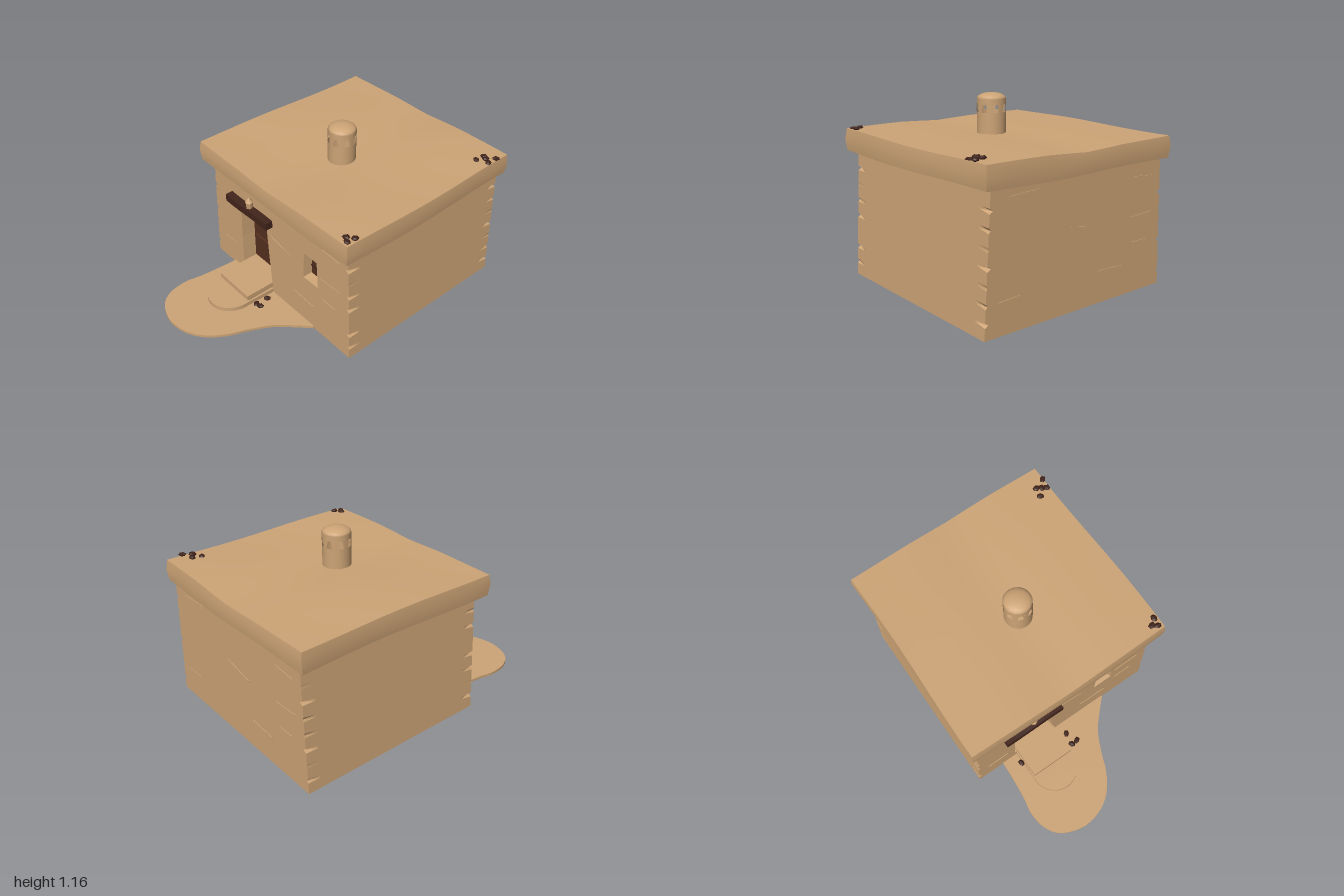
import * as THREE from 'three';
import { toCreasedNormals } from 'three/addons/utils/BufferGeometryUtils.js';

const mat = (name, color, side = THREE.FrontSide) => {
  const m = new THREE.MeshStandardMaterial({ color, side });
  m.name = name;
  return m;
};

// Joins closed cross-sections {z, pts} into a flat-faced skin
function loft(sections) {
  const pos = [];
  for (let s = 0; s < sections.length - 1; s++) {
    const A = sections[s], B = sections[s + 1], n = A.pts.length;
    for (let i = 0; i < n; i++) {
      const j = (i + 1) % n;
      const a = [...A.pts[i], A.z], b = [...A.pts[j], A.z];
      const c = [...B.pts[i], B.z], d = [...B.pts[j], B.z];
      pos.push(...a, ...c, ...b, ...b, ...c, ...d);
    }
  }
  const g = new THREE.BufferGeometry();
  g.setAttribute('position', new THREE.Float32BufferAttribute(pos, 3));
  g.computeVertexNormals();
  return g;
}

const shapeOf = (pts) => new THREE.Shape(pts.map(([x, y]) => new THREE.Vector2(x, y)));

function reshape(g, rule) {
  const p = g.attributes.position, v = new THREE.Vector3();
  for (let i = 0; i < p.count; i++) {
    rule(v.fromBufferAttribute(p, i));
    p.setXYZ(i, v.x, v.y, v.z);
  }
  return g;
}

// Wall outline with chipped corners; amount 0 leaves the sides straight
function wallOutline(amount, seed) {
  const side = (phase) => {
    const out = [];
    for (let k = 0; k < 8; k++) {
      const y = k * 0.1;
      const chip = amount * (0.012 + 0.012 * Math.sin(k * 2.3 + phase));
      const x = (h) => 0.683 - 0.045 * h;
      out.push([x(y), y], [x(y + 0.07), y + 0.07], [x(y + 0.085) - chip, y + 0.085]);
    }
    out.push([0.647, 0.8]);
    return out;
  };
  return [...side(seed), ...side(seed + 2).reverse().map(([x, y]) => [-x, y])];
}

export function createModel() {
  const root = new THREE.Group();
  const clay = mat('clay', 0xcda476, THREE.DoubleSide);
  const doorWood = mat('doorWood', 0x55301f);
  const darkWood = mat('darkWood', 0x42251b);
  const twig = mat('twig', 0x3f231a);

  const add = (name, geo, material, x = 0, y = 0, z = 0, parent = root) => {
    const m = new THREE.Mesh(geo, material);
    m.name = name;
    m.position.set(x, y, z);
    parent.add(m);
    return m;
  };
  const box = (name, w, h, d, material, x, y, z) =>
    add(name, new THREE.BoxGeometry(w, h, d), material, x, y, z);

  // Walls
  const FRONT = 0.333, BACK = -0.95;
  const front = wallOutline(1, 0), plain = wallOutline(0, 0), back = wallOutline(1, 1);
  add('sideWalls', loft([
    { z: FRONT, pts: front }, { z: 0.25, pts: plain },
    { z: -0.87, pts: plain }, { z: BACK, pts: back },
  ]), clay);

  const doorOuter = [[-0.39, 0.07], [-0.07, 0.07], [-0.09, 0.3], [-0.112, 0.6], [-0.372, 0.6], [-0.385, 0.3]];
  const doorInner = [[-0.372, 0.07], [-0.092, 0.07], [-0.096, 0.3], [-0.122, 0.6], [-0.362, 0.6], [-0.372, 0.3]];
  const windowOuter = [[0.252, 0.372], [0.388, 0.376], [0.376, 0.568], [0.26, 0.57]];
  const windowInner = [[0.262, 0.385], [0.372, 0.385], [0.364, 0.545], [0.272, 0.545]];

  const frontShape = shapeOf(front);
  frontShape.holes.push(shapeOf(doorOuter), shapeOf(windowOuter));
  add('frontWall', new THREE.ShapeGeometry(frontShape), clay, 0, 0, FRONT);
  const backShape = shapeOf(back.map(([x, y]) => [-x, y]));
  add('backWall', new THREE.ShapeGeometry(backShape).rotateY(Math.PI), clay, 0, 0, BACK);

  // Openings with their reveals, door and shutters
  add('doorReveal', loft([{ z: 0.235, pts: doorInner }, { z: FRONT, pts: doorOuter }]), clay);
  add('door', new THREE.ShapeGeometry(shapeOf(doorInner)), doorWood, 0, 0, 0.24);
  box('doorBar', 0.2, 0.03, 0.02, doorWood, -0.243, 0.285, 0.247).rotation.z = -0.03;
  add('windowReveal', loft([{ z: 0.27, pts: windowInner }, { z: FRONT, pts: windowOuter }]), clay);
  add('windowBack', new THREE.ShapeGeometry(shapeOf(windowInner)), doorWood, 0, 0, 0.272);
  for (const s of [-1, 1]) box('shutter', 0.04, 0.145, 0.008, doorWood, 0.318 + s * 0.023, 0.465, 0.277);
  box('shutterBar', 0.09, 0.014, 0.008, darkWood, 0.318, 0.46, 0.283);

  // Lintel beam, slightly bowed
  add('lintel', reshape(new THREE.BoxGeometry(0.42, 0.05, 0.07, 6, 1, 1), (v) => {
    v.y += 0.004 * Math.sin(v.x * 14);
  }).toNonIndexed(), darkWood, -0.255, 0.606, 0.35).geometry.computeVertexNormals();

  // Small lantern on the lintel
  const lantern = new THREE.Group();
  lantern.name = 'lantern';
  lantern.position.set(-0.25, 0.63, 0.355);
  root.add(lantern);
  add('lanternBody', new THREE.CylinderGeometry(0.026, 0.022, 0.045, 6), clay, 0, 0.0225, 0, lantern);
  add('lanternCap', new THREE.ConeGeometry(0.028, 0.036, 6), clay, 0, 0.063, 0, lantern);

  // Roof slab: bulging sides, wavy edges and a shallow valley along the middle
  const roof = reshape(new THREE.BoxGeometry(1.39, 0.14, 1.37, 10, 2, 10), (v) => {
    const { x, y, z } = v;
    const edge = 1 - Math.abs(y) / 0.07;
    v.x += Math.sign(x) * (0.008 * edge + 0.007 * Math.sin(z * 4 + x));
    v.z += Math.sign(z) * (0.008 * edge + 0.01 * Math.cos(x * 2.2) - 0.006);
    if (y > 0.06) v.y -= 0.014 * Math.max(0, 1 - Math.abs(x) / 0.3) + 0.005 * (1 + Math.sin(z * 5 + x * 3));
    if (y < -0.06) v.y += 0.005 * Math.sin(x * 6 + z * 4);
  });
  roof.computeVertexNormals();
  add('roofSlab', toCreasedNormals(roof, 0.6), clay, 0, 0.86, -0.29);

  // Chimney: tube, ring of pillars that widen upward, collar and dome
  const chimney = new THREE.Group();
  chimney.name = 'chimney';
  chimney.position.set(0.015, 0, -0.185);
  root.add(chimney);
  const R = 0.089;
  add('chimneyTube', new THREE.CylinderGeometry(R, R, 0.14, 24, 1, true), clay, 0, 0.97, 0, chimney);
  for (let k = 0; k < 8; k++) {
    const pillar = new THREE.CylinderGeometry(R, R, 0.048, 3, 2, true, -0.17, 0.34);
    reshape(pillar, (v) => {
      const a = Math.atan2(v.x, v.z) * (1 + 0.55 * (v.y / 0.048 + 0.5));
      v.x = R * Math.sin(a);
      v.z = R * Math.cos(a);
    });
    add('chimneyPillar', pillar, clay, 0, 1.064, 0, chimney).rotation.y = k * Math.PI / 4;
  }
  add('chimneyCollar', new THREE.CylinderGeometry(R, R, 0.034, 24, 1, true), clay, 0, 1.105, 0, chimney);
  add('chimneyDome', new THREE.SphereGeometry(R, 16, 5, 0, Math.PI * 2, 0, Math.PI / 2).scale(1, 0.4, 1),
    clay, 0, 1.12, 0, chimney);

  // Ground path: smooth blob in front of the door
  const path = new THREE.Shape([new THREE.Vector2(-0.49, -0.3)]);
  path.lineTo(-0.495, -0.42);
  path.splineThru([[-0.51, 0.6], [-0.53, 0.72], [-0.515, 0.84], [-0.46, 0.93], [-0.37, 0.98], [-0.26, 1],
    [-0.13, 0.97], [-0.03, 0.9], [0.05, 0.79], [0.11, 0.65], [0.18, 0.52], [0.27, 0.42], [0.35, 0.34]]
    .map(([x, z]) => new THREE.Vector2(x, -z)));
  path.lineTo(0.35, -0.3);
  const flat = (shape, h) => new THREE.ExtrudeGeometry(shape, { depth: h, bevelEnabled: false, curveSegments: 32 })
    .rotateX(-Math.PI / 2);
  add('path', flat(path, 0.018), clay);

  // Steps: half-round lower, rectangular upper
  const lower = new THREE.Shape([new THREE.Vector2(-0.065, -0.33), new THREE.Vector2(-0.375, -0.33)]);
  lower.lineTo(-0.38, -0.56);
  lower.absellipse(-0.225, -0.56, 0.155, 0.16, Math.PI, Math.PI * 2, false);
  add('lowerStep', flat(lower, 0.047), clay);
  box('upperStep', 0.3, 0.035, 0.3, clay, -0.22, 0.08, 0.39);
  box('stepRiser', 0.28, 0.05, 0.27, clay, -0.22, 0.04, 0.39);

  // Thin plaster ridges on the front and back walls
  const ridges = [[-0.42, 0.745, 0.22, 0.05], [0.03, 0.48, 0.22, -0.2], [0.5, 0.47, 0.18, 0.05],
    [-0.52, 0.19, 0.15, 0.06], [0.49, 0.31, 0.12, 0], [0.5, 0.7, 0.16, -0.08], [0.25, 0.19, 0.2, -0.05]];
  for (const [x, y, w, tilt] of ridges) {
    box('plasterRidge', w, 0.008, 0.008, clay, x, y, FRONT).rotation.z = tilt;
    box('plasterRidge', w, 0.008, 0.008, clay, -x, y, BACK).rotation.z = -tilt;
  }

  // Clumps of dry twigs on the roof corners and beside the steps
  const clumps = [[0.61, 0.935, -0.84], [0.64, 0.94, -0.82], [0.6, 0.93, -0.78], [0.68, 0.94, -0.87], [0.67, 0.93, -0.81],
    [0.63, 0.935, 0.34], [0.67, 0.935, 0.31], [0.66, 0.93, 0.36],
    [-0.02, 0.045, 0.42], [-0.03, 0.04, 0.5], [0.01, 0.05, 0.5], [-0.39, 0.045, 0.41]];
  clumps.forEach(([x, y, z], i) => {
    const g = new THREE.IcosahedronGeometry(0.026, 0).scale(1, 0.5, 0.8);
    add('twigClump', g, twig, x, y, z).rotation.y = i * 1.3;
  });
  return root;
}
